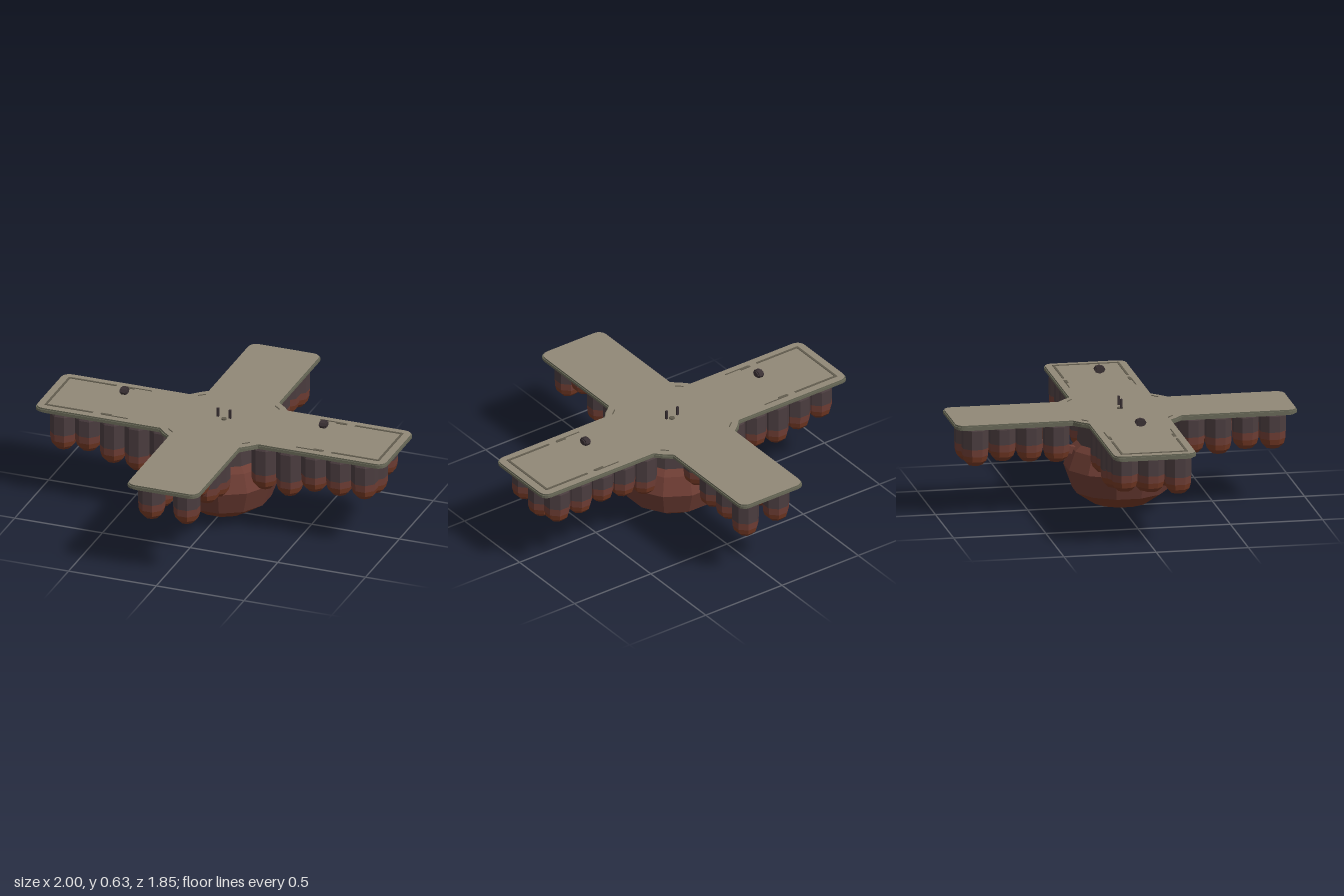
import * as THREE from 'three';

const mat = (name, color) => new THREE.MeshStandardMaterial({ name, color, flatShading: true });

export function createModel() {
  const root = new THREE.Group();
  root.name = 'hangingStation';
  const deckTan = mat('deck tan', 0x918877);
  const edgeOlive = mat('edge olive', 0x686857);
  const trimBrown = mat('trim brown', 0x625c4e);
  const podDark = mat('pod dark', 0x4b3d3f);
  const rust = mat('rust red', 0x6e3d34);
  const ember = mat('ember brown', 0x763a25);
  const black = mat('fitting black', 0x3a3134);

  const add = (name, geo, material, x = 0, y = 0, z = 0, parent = root) => {
    const m = new THREE.Mesh(geo, material);
    m.name = name;
    m.position.set(x, y, z);
    parent.add(m);
    return m;
  };
  const lathe = (pts, sides) =>
    new THREE.LatheGeometry(pts.map(([r, y]) => new THREE.Vector2(r, y)), sides, Math.PI / sides);

  // Cross-shaped outline with rounded tips and a chamfered hub
  function crossShape(inset) {
    const corner = (cx, cy, from) => [0, 1, 2, 3, 4].map(i => {
      const a = from + i * Math.PI / 8;
      return [cx + 0.045 * Math.cos(a), cy + 0.045 * Math.sin(a)];
    });
    const quad = [...corner(0.955 - inset, 0.18 - inset, 0),
      [0.28, 0.225 - inset], [0.25 - inset, 0.262 - inset], [0.205 - inset, 0.295],
      ...corner(0.16 - inset, 0.882 - inset, 0)];
    const pts = [];
    [[1, 1], [-1, 1], [-1, -1], [1, -1]].forEach(([sx, sy]) => {
      const q = sx * sy > 0 ? quad : [...quad].reverse();
      q.forEach(([x, y]) => pts.push(new THREE.Vector2(x * sx, y * sy)));
    });
    return new THREE.Shape(pts);
  }
  const slab = (inset, depth) => new THREE.ExtrudeGeometry(crossShape(inset),
    { depth, bevelEnabled: false }).rotateX(-Math.PI / 2);
  add('deckTop', slab(0.005, 0.008), [deckTan, edgeOlive], 0, 0.528, 0);
  add('deckRim', slab(0, 0.014), edgeOlive, 0, 0.514, 0);
  add('deckUnderside', slab(0.012, 0.009), edgeOlive, 0, 0.505, 0);

  // Inlaid trim lines on the side arms
  const strip = (w, d, x, z) => add('deckTrim', new THREE.BoxGeometry(w, 0.006, d), trimBrown, x, 0.536, z);
  for (const s of [-1, 1]) {
    strip(0.012, 0.36, s * 0.948, 0);
    for (const t of [-1, 1]) {
      strip(0.27, 0.012, s * 0.815, t * 0.175);
      strip(0.06, 0.014, s * 0.605, t * 0.172);
      strip(0.15, 0.005, s * 0.555, t * 0.18);
      const d = strip(0.045, 0.005, s * 0.215, t * 0.232);
      d.rotation.y = s * t * 0.7;
    }
  }

  // Central bulb with its neck and collar
  const bulb = new THREE.Group();
  bulb.name = 'centralBulb';
  root.add(bulb);
  add('bulbBottom', lathe([[0, 0.003], [0.15, 0.03], [0.255, 0.1]], 12), ember, 0, 0, 0, bulb);
  add('bulbBody', lathe([[0.255, 0.1], [0.303, 0.23], [0.265, 0.33], [0.23, 0.36]], 12), rust, 0, 0, 0, bulb);
  add('bulbNeck', lathe([[0.23, 0.36], [0.22, 0.48]], 12), podDark, 0, 0, 0, bulb);
  add('bulbCollar', new THREE.CylinderGeometry(0.3, 0.25, 0.025, 12), edgeOlive, 0, 0.495, 0, bulb);

  // Hanging pod: dark shaft, rust band, ember tip
  const TOP = 0.507;
  function pod(x, z, bottom) {
    const g = new THREE.Group();
    g.name = 'hangingPod';
    g.position.set(x, 0, z);
    root.add(g);
    const b = bottom, mid = Math.min(b + 0.1, TOP - 0.02);
    add('podTip', lathe([[0, b], [0.038, b + 0.006], [0.062, b + 0.03], [0.071, b + 0.06]], 8), ember, 0, 0, 0, g);
    add('podBand', lathe([[0.071, b + 0.06], [0.073, mid]], 8), rust, 0, 0, 0, g);
    add('podShaft', lathe([[0.073, mid], [0.073, TOP - 0.015], [0.064, TOP]], 8), podDark, 0, 0, 0, g);
  }
  // Rows of pod lengths, listed outward from the hub
  const sideRows = [
    { z: 0.145, right: [0.25, 0.235, 0.285, 0.285, 0.29], left: [0.25, 0.235, 0.255, 0.3, 0.285] },
    { z: 0, right: [0.3, 0.27, 0.3, 0.31, 0.26], left: [0.29, 0.26, 0.29, 0.27, 0.3] },
    { z: -0.145, right: [0.26, 0.3, 0.32, 0.3, 0.3], left: [0.27, 0.29, 0.26, 0.29, 0.31] },
  ];
  for (const { z, right, left } of sideRows) {
    right.forEach((b, i) => pod(0.29 + i * 0.142, z, b));
    left.forEach((b, i) => pod(-0.29 - i * 0.142, z, b));
  }
  const endRows = [
    { x: 0.1, front: [0.27, 0.3, 0.4, 0.31], back: [0.36, 0.3, 0.3, 0.27] },
    { x: -0.1, front: [0.3, 0.29, 0.31, 0.305], back: [0.29, 0.3, 0.31, 0.29] },
  ];
  for (const { x, front, back } of endRows) {
    front.forEach((b, i) => pod(x, 0.365 + i * 0.147, b));
    back.forEach((b, i) => pod(x, -0.365 - i * 0.147, b));
  }

  // Sloping braces from the bulb to each arm
  for (let i = 0; i < 4; i++) {
    const arm = new THREE.Group();
    arm.name = 'braceArm';
    arm.rotation.y = i * Math.PI / 2;
    root.add(arm);
    add('brace', new THREE.BoxGeometry(0.42, 0.04, 0.04), rust, 0.42, 0.365, 0, arm).rotation.z = 0.25;
  }

  // Floating beacons above the side arms and antennae over the hub
  for (const s of [-1, 1]) {
    const c = new THREE.CylinderGeometry(0.03, 0.03, 0.026, 8).rotateZ(Math.PI / 2).scale(1, 0.72, 1);
    add('beacon', c, black, s * 0.568, 0.607, 0);
    add('beaconCore', new THREE.CylinderGeometry(0.022, 0.022, 0.04, 8).rotateZ(Math.PI / 2).scale(1, 0.72, 1),
      black, s * 0.568, 0.607, 0);
    add('antenna', new THREE.BoxGeometry(0.012, 0.05, 0.01), black, s * 0.035, 0.572, 0);
  }
  add('hubStud', new THREE.CylinderGeometry(0.015, 0.015, 0.008, 8), trimBrown, 0, 0.539, 0);

  return root;
}
